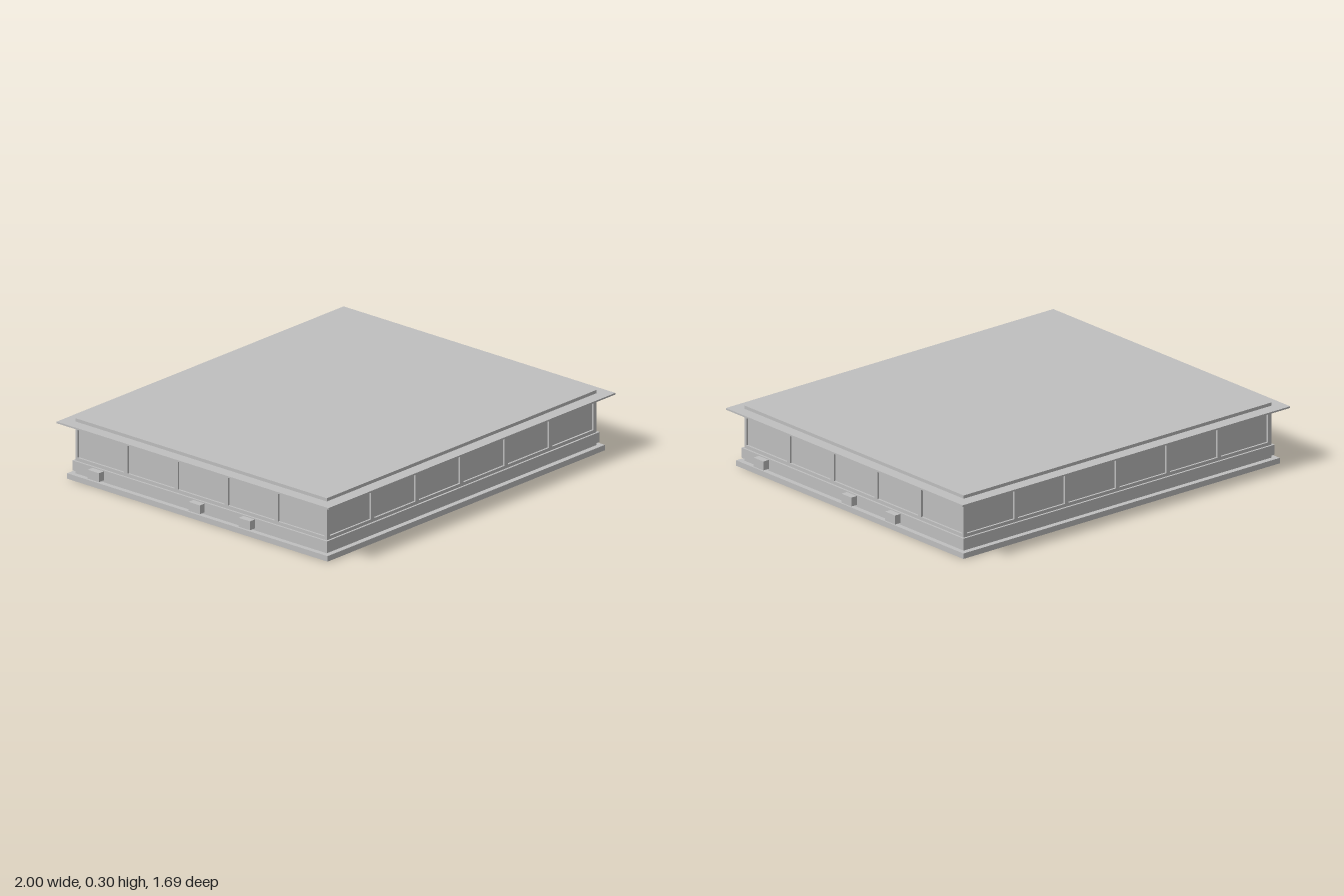
import * as THREE from 'three';

export function createModel() {
  const model = new THREE.Group();
  model.name = 'flatRoofedBuilding';
  const grey = new THREE.MeshStandardMaterial({ color: 0xbfbfbf });
  grey.name = 'light grey';

  const HX = 0.94, HZ = 0.78;          // half size of the walls
  const RECESS = 0.01;                 // depth of the window bays
  const SILL = 0.107, EAVE = 0.276;    // height range of the bays

  // Box centred on x and z, from y0 to y1
  function box(name, w, d, y0, y1, x = 0, z = 0, parent = model) {
    const mesh = new THREE.Mesh(new THREE.BoxGeometry(w, y1 - y0, d), grey);
    mesh.name = name;
    mesh.position.set(x, (y0 + y1) / 2, z);
    parent.add(mesh);
    return mesh;
  }

  // Stacked slabs
  box('basePlate', 1.932, 1.616, 0, 0.027);
  box('lowerWall', 2 * HX, 2 * HZ, 0.027, SILL);
  box('plinthBand', 1.9, 1.58, 0.042, 0.091);
  box('windowCore', 2 * (HX - RECESS), 2 * (HZ - RECESS), SILL, EAVE);
  box('eavePlate', 2, 1.686, EAVE, 0.284);
  box('roofSlab', 2 * HX, 2 * HZ, 0.284, 0.3);

  // Posts dividing a wall into equal bays; the wall runs along local x and faces local +z
  function posts(name, half, out, bays, pitch, turn) {
    const wall = new THREE.Group();
    wall.name = name;
    wall.rotation.y = turn;
    for (let i = 1; i < bays; i++) {
      box('post', 0.022, RECESS, SILL, EAVE, (i - bays / 2) * pitch, out - RECESS / 2, wall);
    }
    // Corner posts fill the space beyond the outer bays
    const edge = (bays * pitch - 0.022) / 2;
    for (const s of [-1, 1]) {
      box('cornerPost', half - edge, RECESS, SILL, EAVE, s * (half + edge) / 2, out - RECESS / 2, wall);
    }
    model.add(wall);
  }
  posts('frontPosts', HX, HZ, 6, 0.31, 0);
  posts('backPosts', HX, HZ, 6, 0.31, Math.PI);
  posts('leftPosts', HZ, HX, 5, 0.311, Math.PI / 2);
  posts('rightPosts', HZ, HX, 5, 0.311, -Math.PI / 2);

  // Small blocks on both sides, the two sides being half a turn apart
  for (const s of [-1, 1]) {
    for (const z of [0.63, 0.004, -0.307]) {
      box('sideBlock', 0.045, 0.07, 0.042, 0.086, s * 0.961, s * z);
    }
  }
  return model;
}
